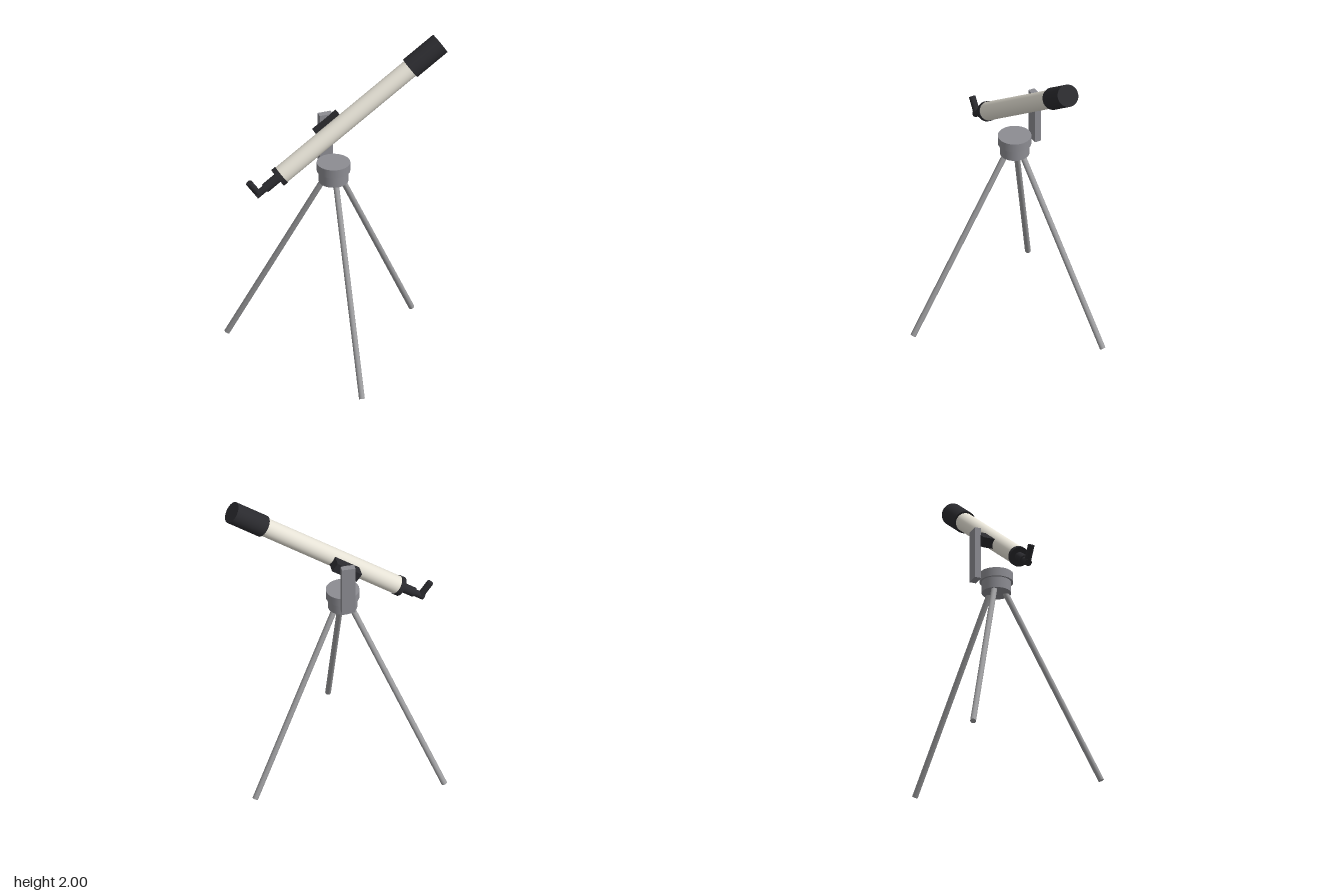
import * as THREE from 'three';

const mat = (color) => new THREE.MeshStandardMaterial({ color });
const deg = THREE.MathUtils.degToRad;

export function createModel() {
  const model = new THREE.Group();
  const cream = mat(0xe6e2d6), black = mat(0x2a2a2e), grey = mat(0x8c8c92), metal = mat(0xa0a0a2);

  const add = (parent, name, geometry, material, x, y, z) => {
    const mesh = new THREE.Mesh(geometry, material);
    mesh.name = name;
    mesh.position.set(x, y, z);
    parent.add(mesh);
    return mesh;
  };
  // cylinder along local y, spanning y0..y1
  const rod = (parent, name, radius, y0, y1, material) =>
    add(parent, name, new THREE.CylinderGeometry(radius, radius, y1 - y0, 32), material, 0, (y0 + y1) / 2, 0);

  // Tripod: head and three splayed legs
  const tripod = new THREE.Group();
  tripod.name = 'tripod';
  tripod.position.z = 0.085;
  model.add(tripod);
  rod(tripod, 'headBase', 0.088, 1.14, 1.21, grey);
  rod(tripod, 'headPlate', 0.1, 1.21, 1.265, grey);

  const up = new THREE.Vector3(0, 1, 0);
  for (const angle of [60, 180, 300]) {
    const dir = new THREE.Vector3(Math.sin(deg(angle)), 0, Math.cos(deg(angle)));
    const foot = dir.clone().multiplyScalar(0.653).setY(0.008);
    const top = dir.clone().multiplyScalar(0.05).setY(1.16);
    const span = top.clone().sub(foot);
    const mid = foot.clone().add(top).multiplyScalar(0.5);
    const leg = add(tripod, 'leg', new THREE.CylinderGeometry(0.0175, 0.0175, span.length(), 20), metal, mid.x, mid.y, mid.z);
    leg.quaternion.setFromUnitVectors(up, span.normalize());
  }

  // Upright mounting post beside the tube
  const yaw = deg(-25), pitch = deg(35);
  const post = add(model, 'mountPost', new THREE.BoxGeometry(0.04, 0.325, 0.082), grey, -0.125, 1.3625, 0.03);
  post.rotation.y = yaw;

  // Telescope: local +y points at the sky, origin at the front opening
  const scope = new THREE.Group();
  scope.name = 'telescope';
  scope.position.set(0.285, 1.945, -0.525);
  scope.rotation.set(pitch - Math.PI / 2, yaw, 0, 'YXZ');
  model.add(scope);
  rod(scope, 'dewShield', 0.067, -0.232, 0, black);
  rod(scope, 'mainTube', 0.056, -1.225, -0.22, cream);
  rod(scope, 'rearRing', 0.06, -1.252, -1.222, black);
  rod(scope, 'focuser', 0.029, -1.35, -1.25, black);
  rod(scope, 'drawTube', 0.021, -1.42, -1.345, black);
  add(scope, 'tubeClamp', new THREE.BoxGeometry(0.08, 0.18, 0.06), black, -0.08, -0.823, 0);

  // Eyepiece rising at a right angle from the draw tube
  const eyepiece = add(scope, 'eyepiece', new THREE.CylinderGeometry(0.02, 0.02, 0.105, 32), black, 0, -1.4, 0.0525);
  eyepiece.rotation.x = Math.PI / 2;

  return model;
}
